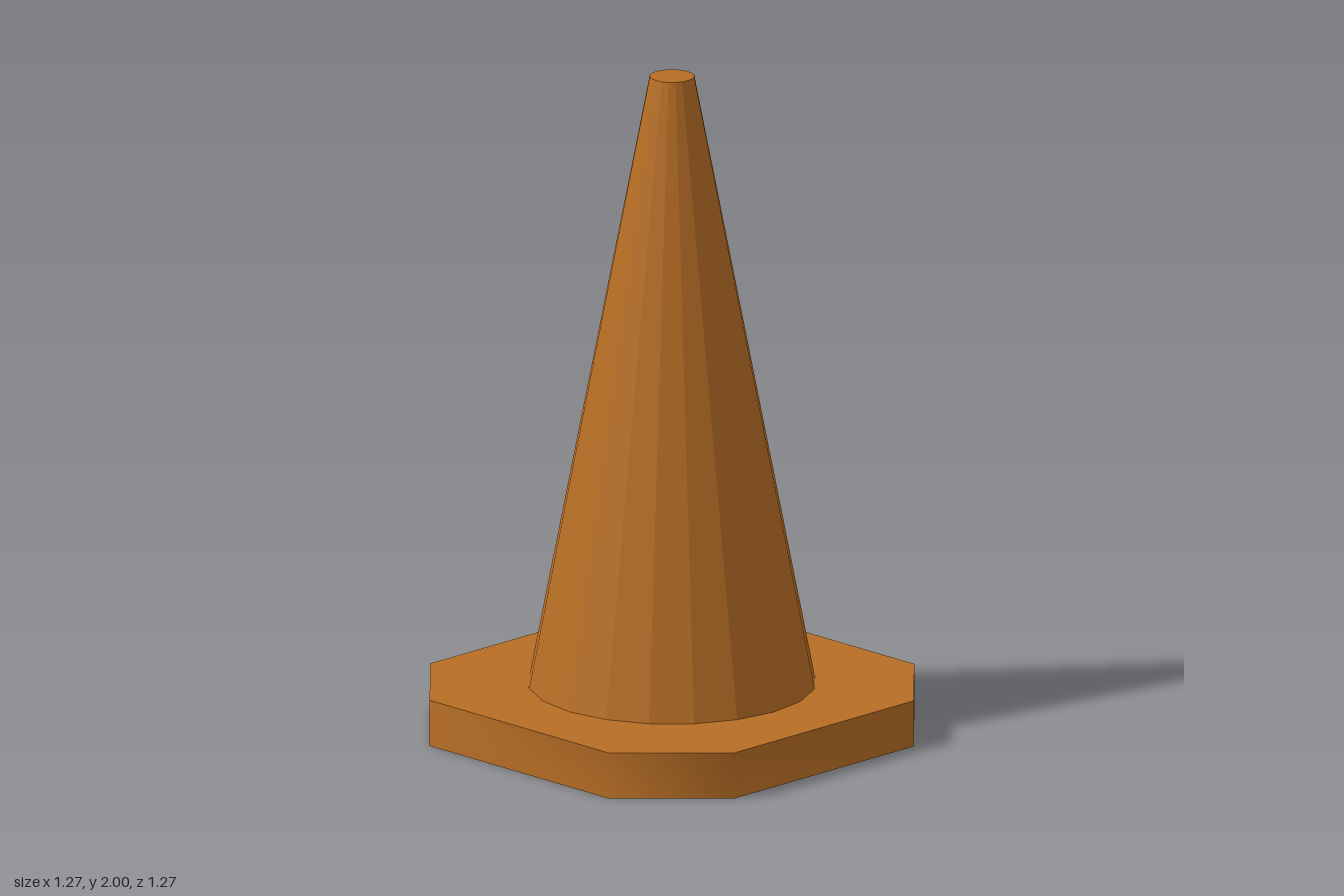
import * as THREE from 'three';
import { toCreasedNormals } from 'three/addons/utils/BufferGeometryUtils.js';

// Eight-sided ring: a square with chamfered corners, scaled by s at height y
const ring = (s, y) => {
  const a = 0.633 * s, b = 0.372 * s;
  return [[a, -b], [a, b], [b, a], [-b, a], [-a, b], [-a, -b], [-b, -a], [b, -a]].map(([x, z]) => [x, y, z]);
};

// Joins consecutive rings with quads, keeping edges sharper than the crease angle
function loft(rings, crease) {
  const pos = [];
  for (let r = 0; r < rings.length - 1; r++) {
    for (let i = 0; i < 8; i++) {
      const j = (i + 1) % 8;
      const a = rings[r][i], b = rings[r][j], c = rings[r + 1][j], d = rings[r + 1][i];
      pos.push(...a, ...d, ...c, ...a, ...c, ...b);
    }
  }
  const geo = new THREE.BufferGeometry();
  geo.setAttribute('position', new THREE.Float32BufferAttribute(pos, 3));
  geo.computeVertexNormals();
  return crease ? toCreasedNormals(geo, crease) : geo;
}

export function createModel() {
  const group = new THREE.Group();
  const orange = new THREE.MeshStandardMaterial({ color: 0xb86e25 });
  orange.name = 'orange';
  const add = (name, geo) => {
    const mesh = new THREE.Mesh(geo, orange);
    mesh.name = name;
    group.add(mesh);
  };

  const baseTop = 0.14, holeScale = 0.58, hollowTop = 1.95;

  // Base plate, open in the middle, with softly shaded sides
  add('base', loft([
    ring(holeScale, 0), ring(1, 0), ring(1, baseTop),
    ring(holeScale * (1 - baseTop / hollowTop), baseTop),
  ], Math.PI / 3.6));

  // Faceted hollow seen from underneath
  add('innerHollow', loft([ring(0.002, hollowTop), ring(holeScale, 0)]));

  // Twenty-sided tapering body with a flat tip
  const profile = [[0.424, baseTop], [0.066, 2], [0.001, 2]].map(([x, y]) => new THREE.Vector2(x, y));
  const body = new THREE.LatheGeometry(profile, 20).toNonIndexed();
  body.computeVertexNormals();
  add('coneBody', body);

  return group;
}
